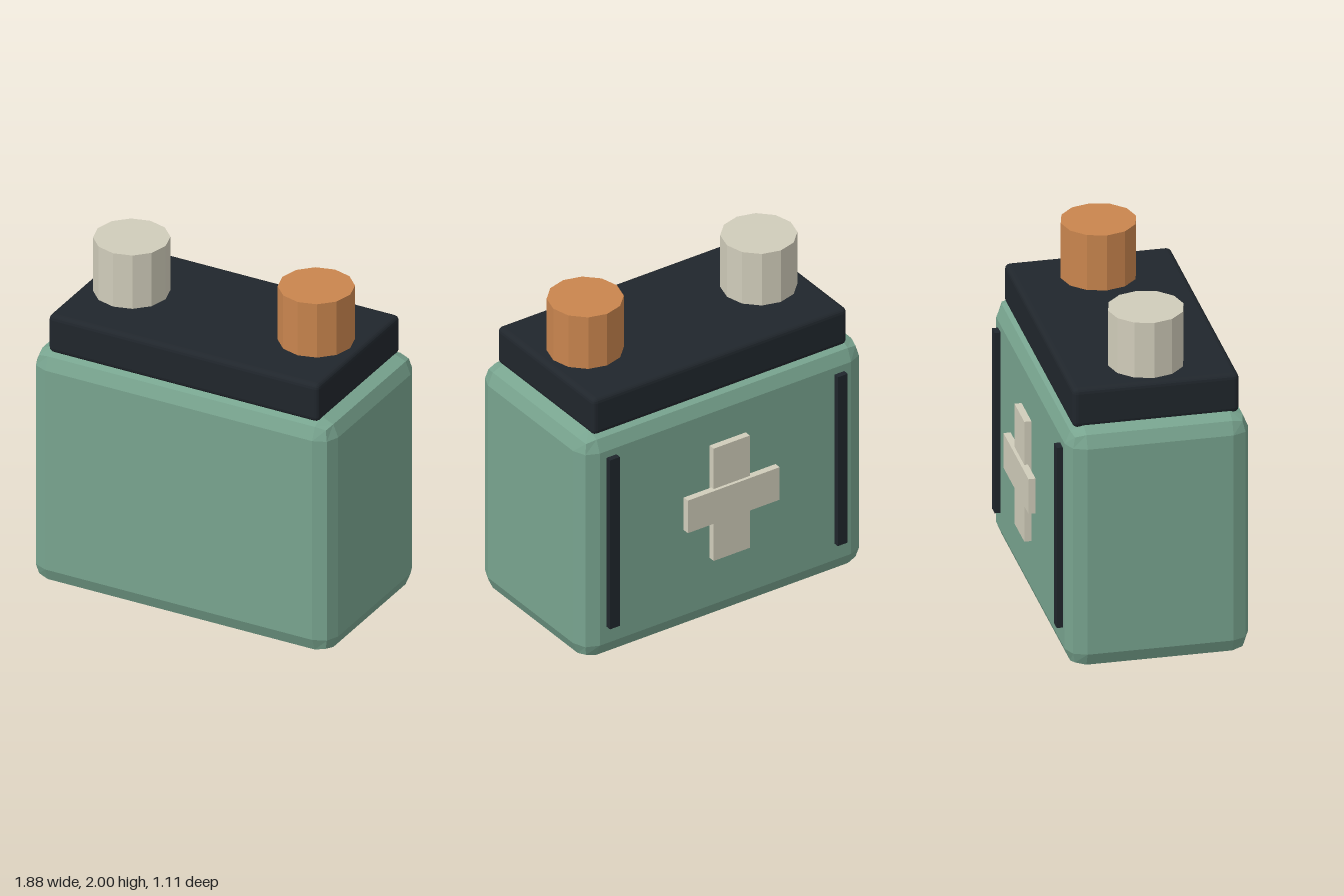
import * as THREE from 'three';
import { RoundedBoxGeometry } from 'three/addons/geometries/RoundedBoxGeometry.js';

export function createModel() {
  const model = new THREE.Group();
  model.name = 'battery';

  const paint = (color) => new THREE.MeshStandardMaterial({ color, flatShading: true });
  const green = paint(0x78a48f);
  const black = paint(0x20262c);
  const cream = paint(0xd0ccba);
  const copper = paint(0xc9854e);

  function add(name, geometry, material, x, y, z) {
    const mesh = new THREE.Mesh(geometry, material);
    mesh.name = name;
    mesh.position.set(x, y, z);
    model.add(mesh);
    return mesh;
  }

  // Case with broad two-facet edges, and the lid sunk slightly into it
  add('case', new RoundedBoxGeometry(1.88, 1.45, 1.03, 1, 0.105), green, 0, 0.725, 0.04);
  add('lid', new RoundedBoxGeometry(1.69, 0.235, 0.935, 2, 0.03), black, 0, 1.55, 0.038);

  // Twelve-sided terminals: copper on the left, cream on the right
  for (const [side, material] of [[1, copper], [-1, cream]]) {
    const label = side > 0 ? 'left' : 'right';
    add(label + 'Terminal', new THREE.CylinderGeometry(0.212, 0.212, 0.4, 12), material,
      side * 0.577, 1.8, 0.04);

    // Narrow strip down the back
    add(label + 'BackStrip', new THREE.BoxGeometry(0.066, 1.09, 0.06), black,
      side * 0.757, 0.757, -0.479);
  }

  // Plus sign on the back, the crossbar lying over the upright
  add('plusUpright', new THREE.BoxGeometry(0.24, 0.725, 0.04), cream, 0, 0.793, -0.517);
  add('plusCrossbar', new THREE.BoxGeometry(0.61, 0.21, 0.04), cream, 0, 0.79, -0.536);

  return model;
}
